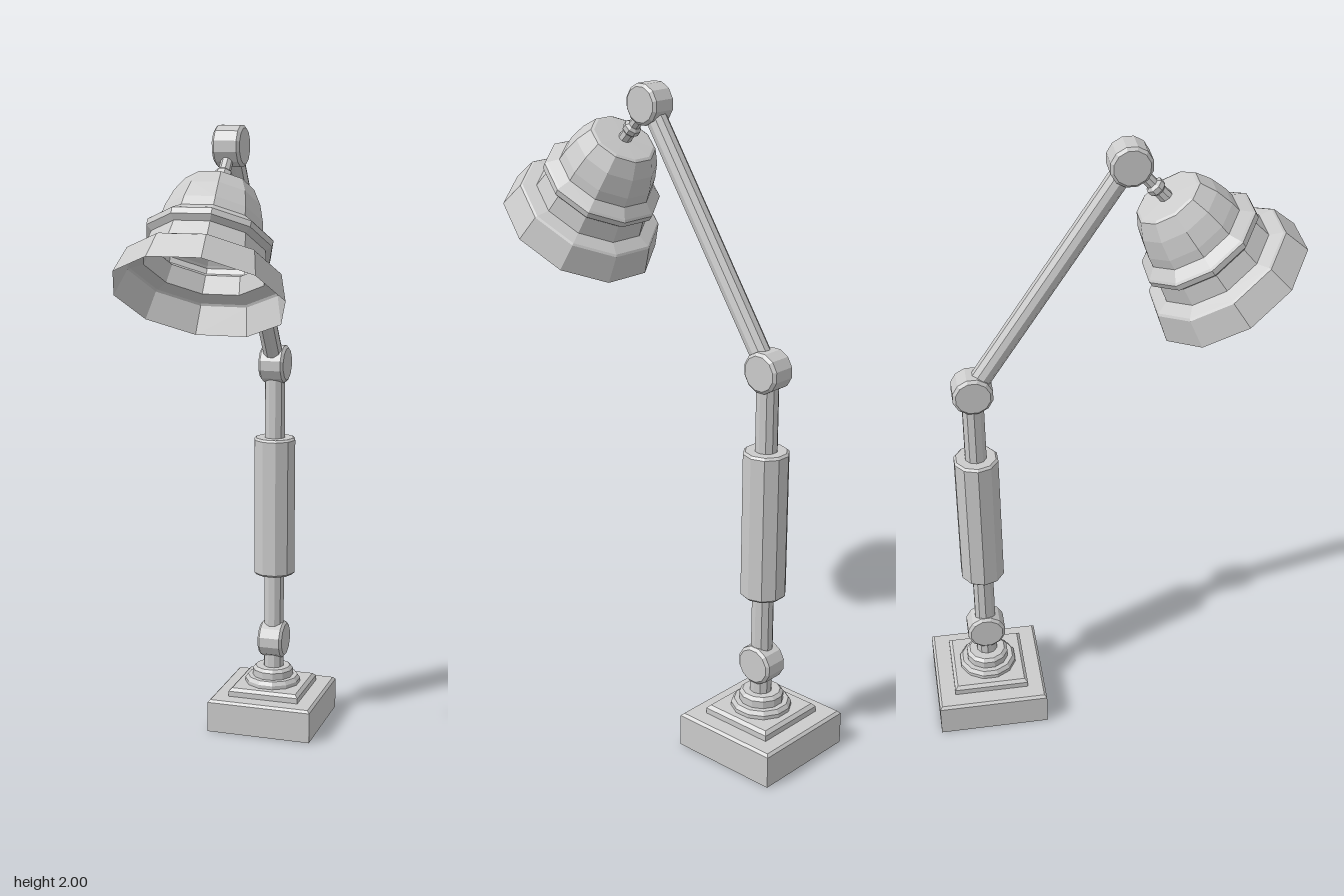
import * as THREE from 'three';

const grey = new THREE.MeshStandardMaterial({ color: 0xcccccc, flatShading: true });
const greyOpen = new THREE.MeshStandardMaterial({ color: 0xcccccc, flatShading: true, side: THREE.DoubleSide });

// Faceted turned part; profile is [radius, height] from bottom to top.
function turned(name, profile, sides, start = 0, material = grey) {
  const points = profile.map(([r, y]) => new THREE.Vector2(r, y));
  const mesh = new THREE.Mesh(new THREE.LatheGeometry(points, sides, start, Math.PI * 2), material);
  mesh.name = name;
  return mesh;
}

// Solid rod with small chamfers on both ends, standing on its origin.
function rod(name, radius, length, sides, chamfer = 0.005) {
  return turned(name, [
    [0, 0], [radius - chamfer, 0], [radius, chamfer],
    [radius, length - chamfer], [radius - chamfer, length], [0, length],
  ], sides, Math.PI / sides);
}

// Square slab with a bevelled top edge.
function slab(name, half, bottom, top, bevel) {
  const k = Math.SQRT2;
  return turned(name, [
    [0, bottom], [half * k, bottom], [half * k, top - bevel], [(half - bevel) * k, top], [0, top],
  ], 4, Math.PI / 4);
}

// Move a part to a point and turn its y axis towards another.
function aim(mesh, from, to) {
  mesh.position.copy(from);
  mesh.quaternion.setFromUnitVectors(new THREE.Vector3(0, 1, 0), to.clone().sub(from).normalize());
  return mesh;
}

export function createModel() {
  const lamp = new THREE.Group();
  lamp.name = 'deskLamp';
  const poleZ = -0.397;
  const lowPivot = new THREE.Vector3(0, 0.29, poleZ);
  const elbow = new THREE.Vector3(0, 1.23, poleZ);
  const headPivot = new THREE.Vector3(0, 1.938, 0.07);

  // Stepped square base with round collars
  const base = new THREE.Group();
  base.name = 'base';
  base.position.set(-0.003, 0, poleZ);
  base.add(
    slab('plinth', 0.176, 0, 0.11, 0.008),
    slab('upperStep', 0.12, 0.11, 0.138, 0.01),
    turned('collar', [
      [0.093, 0.138], [0.093, 0.15], [0.084, 0.162], [0.068, 0.162],
      [0.068, 0.185], [0.058, 0.195], [0, 0.195],
    ], 12, Math.PI / 12),
  );
  lamp.add(base);

  // Upright pole and its thick sleeve
  const pole = rod('pole', 0.034, elbow.y - 0.18, 10);
  pole.position.set(0, 0.18, poleZ);
  const sleeve = rod('sleeve', 0.07, 0.465, 10, 0.007);
  sleeve.position.set(0, 0.52, poleZ);
  lamp.add(pole, sleeve);

  // Slanted arm
  lamp.add(aim(rod('arm', 0.032, elbow.distanceTo(headPivot), 10), elbow, headPivot));

  // Pivot drums lying across the lamp
  for (const [name, at] of [['lowerJoint', lowPivot], ['elbowJoint', elbow], ['headJoint', headPivot]]) {
    const joint = turned(name, [
      [0, -0.042], [0.053, -0.042], [0.062, -0.034], [0.062, 0.034], [0.053, 0.042], [0, 0.042],
    ], 12, Math.PI / 12);
    joint.rotation.z = Math.PI / 2;
    joint.position.copy(at);
    lamp.add(joint);
  }

  // Open stepped bell shade, tilted forward
  const shade = turned('shade', [
    [0.253, 0], [0.228, 0.083], [0.222, 0.088], [0.182, 0.1], [0.17, 0.155],
    [0.187, 0.168], [0.188, 0.186], [0.182, 0.192], [0.152, 0.215], [0.147, 0.245],
    [0.13, 0.3], [0.104, 0.348], [0.095, 0.352], [0, 0.355],
  ], 10, Math.PI / 2, greyOpen);
  shade.position.set(0, 1.528, 0.37);
  shade.rotation.x = -0.581;
  lamp.add(shade);

  // Stem with a bead, linking the shade to the head joint
  const shadeTop = new THREE.Vector3(0, 1.818, 0.177);
  const stem = turned('stem', [
    [0.02, 0], [0.02, 0.035], [0.027, 0.042], [0.027, 0.058], [0.018, 0.066], [0.018, 0.15],
  ], 8, Math.PI / 8);
  lamp.add(aim(stem, shadeTop, headPivot));

  return lamp;
}
